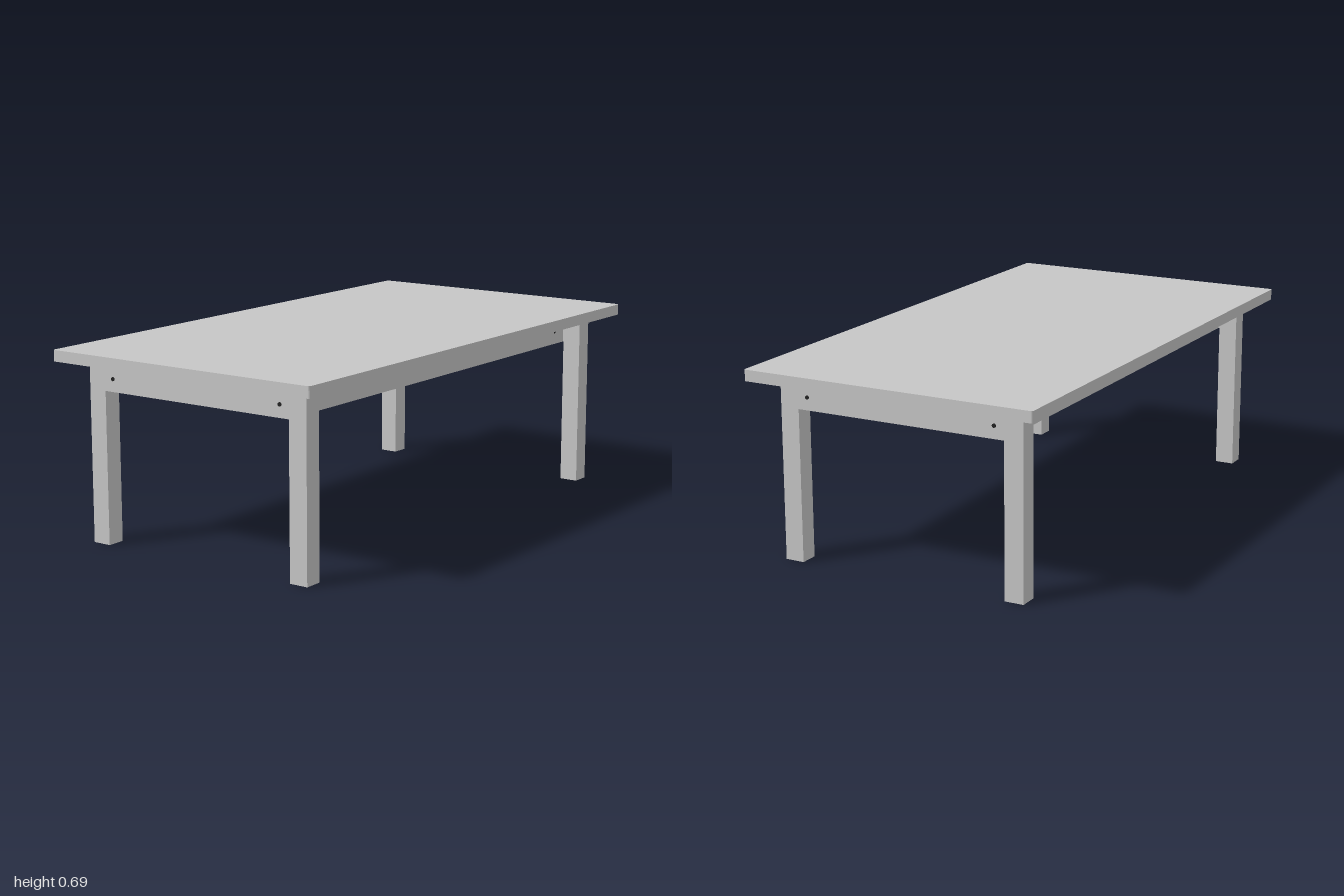
import * as THREE from 'three';

const wood = new THREE.MeshStandardMaterial({ name: 'lightGrey', color: 0xc6c6c6 });
const metal = new THREE.MeshStandardMaterial({ name: 'darkMetal', color: 0x222222 });

const TOP_Y = 0.645, FRAME_Y = 0.635, APRON_H = 0.09;
const LEG_X = 0.874, LEG_Z = 0.428, LEG_W = 0.067, LEG_D = 0.07;
const RAIL_Z = 0.357, RAIL_D = 0.066;

function add(parent, name, geometry, material, x, y, z) {
  const mesh = new THREE.Mesh(geometry, material);
  mesh.name = name;
  mesh.position.set(x, y, z);
  parent.add(mesh);
  return mesh;
}

// Slab with slightly rounded vertical corners
function slabGeometry(hx, hz, r, height) {
  const s = new THREE.Shape();
  s.moveTo(-hx + r, -hz);
  s.lineTo(hx - r, -hz);
  s.absarc(hx - r, -hz + r, r, -Math.PI / 2, 0);
  s.absarc(hx - r, hz - r, r, 0, Math.PI / 2);
  s.absarc(-hx + r, hz - r, r, Math.PI / 2, Math.PI);
  s.absarc(-hx + r, -hz + r, r, Math.PI, Math.PI * 1.5);
  const g = new THREE.ExtrudeGeometry(s, { depth: height, bevelEnabled: false, curveSegments: 4 });
  return g.rotateX(-Math.PI / 2);
}

// Figure-eight fastener: two joined discs, one over the frame, one under the top
function fastener() {
  const g = new THREE.Group();
  g.name = 'topFastener';
  const disc = new THREE.CylinderGeometry(0.03, 0.03, 0.006, 24);
  const screw = new THREE.CylinderGeometry(0.006, 0.006, 0.005, 12);
  for (const s of [-1, 1]) {
    add(g, 'fastenerDisc', disc, metal, s * 0.03, 0.003, 0);
    add(g, 'fastenerScrew', screw, metal, s * 0.03, 0.0075, 0);
  }
  add(g, 'fastenerBridge', new THREE.BoxGeometry(0.03, 0.005, 0.03), metal, 0, 0.003, 0);
  return g;
}

export function createModel() {
  const table = new THREE.Group();
  table.name = 'table';
  add(table, 'tabletop', slabGeometry(1, 0.545, 0.008, 0.04), wood, 0, TOP_Y, 0);

  const legGeo = new THREE.BoxGeometry(LEG_W, FRAME_Y, LEG_D);
  const endGeo = new THREE.BoxGeometry(LEG_W, APRON_H, 2 * LEG_Z - LEG_D);
  const railGeo = new THREE.BoxGeometry(2 * LEG_X - LEG_W, APRON_H, RAIL_D);
  const boltGeo = new THREE.CylinderGeometry(0.007, 0.007, 0.006, 16).rotateZ(Math.PI / 2);
  const nutGeo = new THREE.CylinderGeometry(0.005, 0.005, RAIL_D + 0.002, 16).rotateX(Math.PI / 2);
  const apronY = FRAME_Y - APRON_H / 2;

  // Long rails sit inside the legs and butt against the end aprons
  for (const sz of [-1, 1]) add(table, 'longRail', railGeo, wood, 0, apronY, sz * RAIL_Z);

  for (const sx of [-1, 1]) {
    add(table, 'endApron', endGeo, wood, sx * LEG_X, apronY, 0);
    // Centre fastener
    const mid = fastener();
    mid.position.set(sx * 0.835, FRAME_Y, 0);
    table.add(mid);
    for (const sz of [-1, 1]) {
      add(table, 'leg', legGeo, wood, sx * LEG_X, FRAME_Y / 2, sz * LEG_Z);
      add(table, 'frameBolt', boltGeo, metal, sx * 0.9075, apronY, sz * RAIL_Z);
      add(table, 'barrelNut', nutGeo, metal, sx * 0.775, apronY, sz * RAIL_Z);
      // Diagonal corner fastener
      const corner = fastener();
      corner.position.set(sx * 0.83, FRAME_Y, sz * 0.325);
      corner.rotation.y = -sx * sz * Math.PI / 4;
      table.add(corner);
    }
  }
  return table;
}
